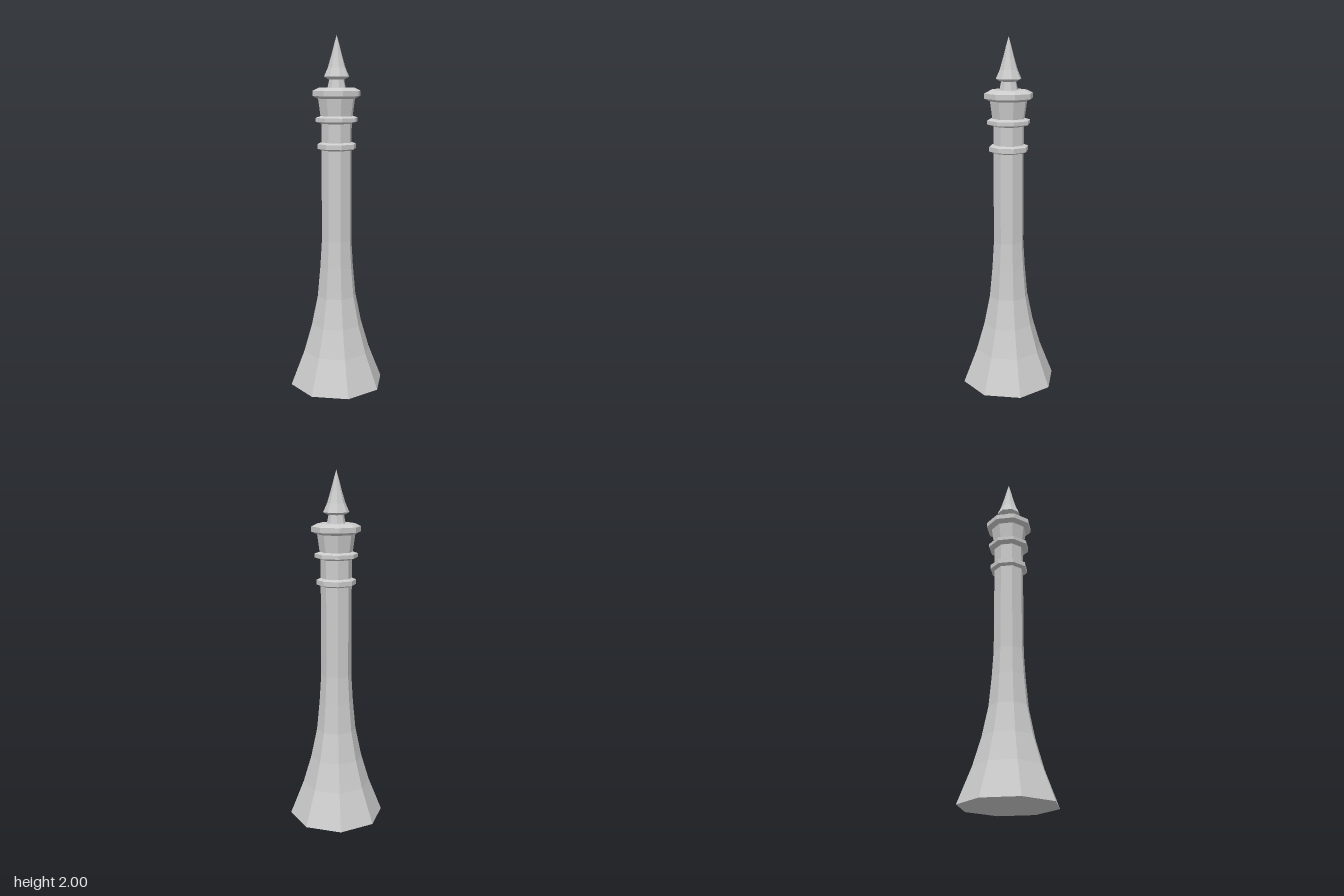
import * as THREE from 'three';

const SIDES = 8;
const material = new THREE.MeshStandardMaterial({ color: 0xcccccc, flatShading: true });

// Octagonal turned part from a bottom-to-top profile of [radius, height]
function turned(name, profile) {
  const points = profile.map(([r, y]) => new THREE.Vector2(r, y));
  const mesh = new THREE.Mesh(new THREE.LatheGeometry(points, SIDES), material);
  mesh.name = name;
  return mesh;
}

// Bevelled band: inner radius, outer radius, bottom, top, bevel height
function band(name, inner, outer, y0, y1, bevel) {
  return turned(name, [
    [inner, y0], [outer, y0 + bevel], [outer, y1 - bevel], [inner, y1],
  ]);
}

export function createModel() {
  const tower = new THREE.Group();
  tower.name = 'tower';

  // Flared foot rising into a straight shaft
  tower.add(turned('shaft', [
    [0, 0], [0.273, 0], [0.195, 0.2], [0.148, 0.36], [0.113, 0.53],
    [0.097, 0.7], [0.087, 0.86], [0.087, 1.54],
  ]));

  // Flaring collar under the gallery
  tower.add(turned('collar', [[0.087, 1.53], [0.092, 1.56], [0.107, 1.67]]));

  // Bands around the shaft
  tower.add(band('lowerBand', 0.085, 0.111, 1.372, 1.418, 0.01));
  tower.add(band('middleBand', 0.085, 0.121, 1.52, 1.565, 0.012));

  // Gallery with its sloping deck
  tower.add(turned('gallery', [
    [0.1, 1.655], [0.137, 1.672], [0.137, 1.7], [0.102, 1.717], [0, 1.717],
  ]));

  // Neck and concave pointed spire
  tower.add(turned('neck', [[0.052, 1.715], [0.041, 1.77]]));
  tower.add(turned('spire', [
    [0, 1.762], [0.045, 1.762], [0.072, 1.776], [0.05, 1.825],
    [0.03, 1.892], [0.016, 1.945], [0, 2],
  ]));

  return tower;
}
